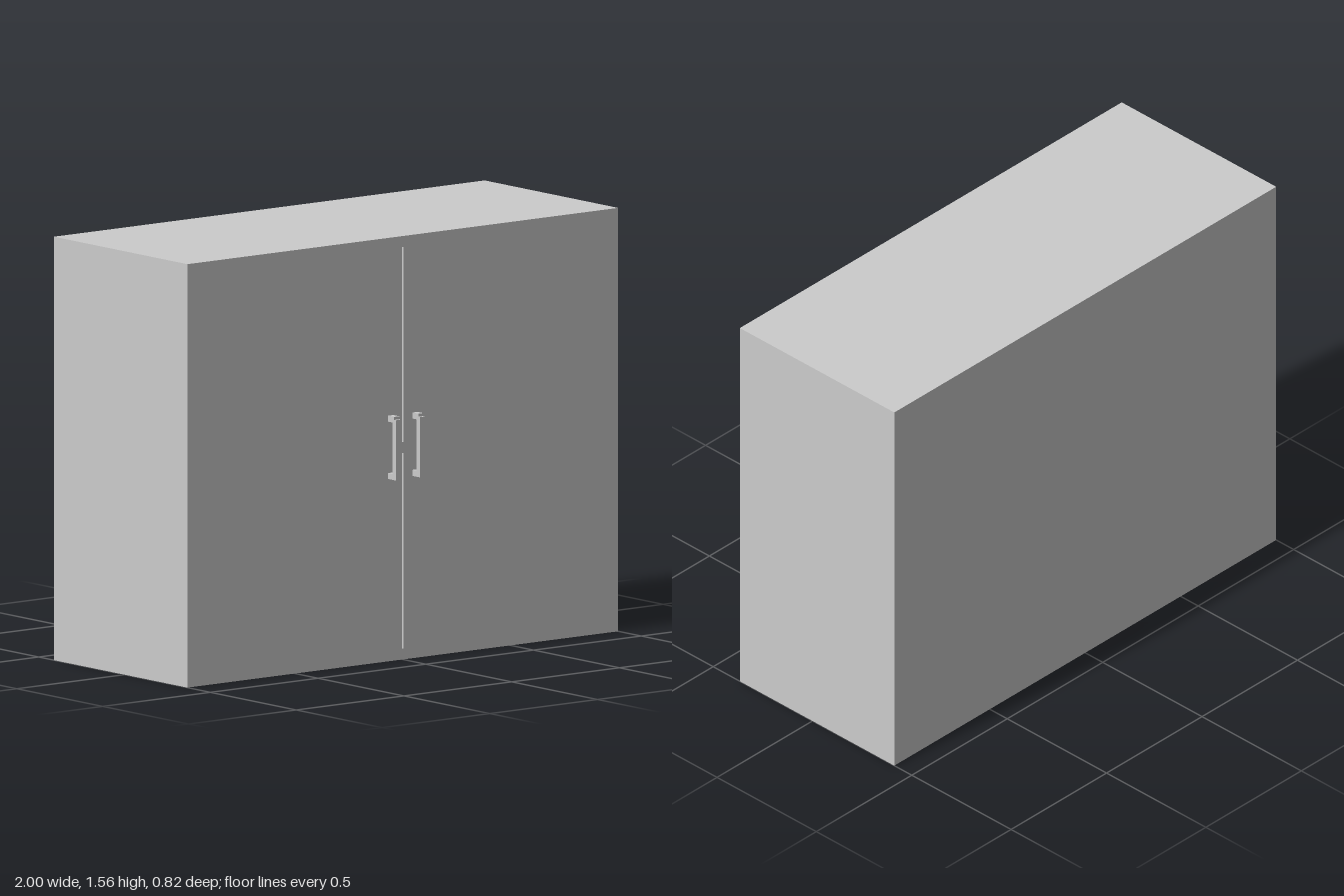
import * as THREE from 'three';

const material = new THREE.MeshStandardMaterial({ color: 0xcccccc, flatShading: true });

// Box given by its minimum and maximum corners
function box(name, [x0, y0, z0], [x1, y1, z1]) {
  const mesh = new THREE.Mesh(new THREE.BoxGeometry(x1 - x0, y1 - y0, z1 - z0), material);
  mesh.name = name;
  mesh.position.set((x0 + x1) / 2, (y0 + y1) / 2, (z0 + z1) / 2);
  return mesh;
}

export function createModel() {
  const model = new THREE.Group();
  model.name = 'cabinet';

  const W = 1, H = 1.558, back = -0.412, front = 0.366; // carcass extents
  const t = 0.04;        // board thickness
  const gap = 0.004;     // half of the slit between the doors
  const shelfY = 0.76;
  const doorBack = front - t;

  // Carcass boards
  model.add(
    box('bottomPanel', [-W, 0, back], [W, t, front]),
    box('topPanel', [-W, H - t, back], [W, H, front]),
    box('backPanel', [-W + t, t, back], [W - t, H - t, back + t]),
    box('shelf', [-W + t, shelfY, back + t], [W - t, shelfY + t, doorBack]),
    // Shelf nose that shows between the doors
    box('shelfNose', [-gap, shelfY, doorBack], [gap, shelfY + t, front])
  );

  // Side panel, inset door and pull handle, mirrored left and right
  for (const [side, s] of [['left', 1], ['right', -1]]) {
    const part = (name, a, b, y0, y1, z0, z1) =>
      box(name, [Math.min(s * a, s * b), y0, z0], [Math.max(s * a, s * b), y1, z1]);

    model.add(part(side + 'SidePanel', W - t, W, t, H - t, back, front));
    model.add(part(side + 'Door', gap, W - t, t, H - t, doorBack, front));

    const handle = new THREE.Group();
    handle.name = side + 'Handle';
    handle.add(
      part('grip', 0.044, 0.068, 0.671, 0.893, 0.39, 0.412),
      part('upperPost', 0.044, 0.068, 0.882, 0.904, front, 0.401),
      part('lowerPost', 0.044, 0.068, 0.671, 0.693, front, 0.39)
    );
    model.add(handle);
  }
  return model;
}
